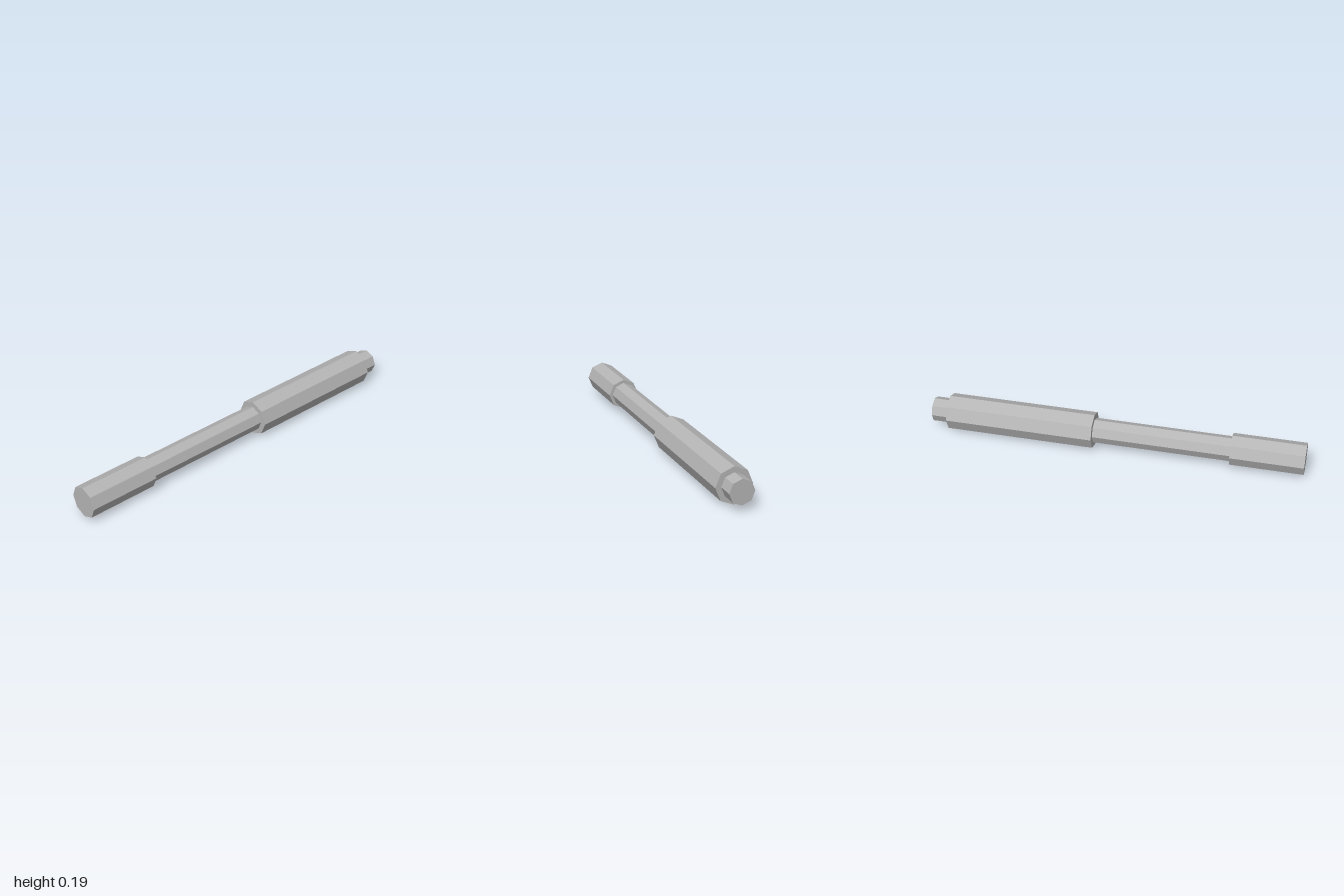
import * as THREE from 'three';

const SIDES = 8;
const AXIS_Y = 0.096;

// Octagonal bar along z, with a corner pointing straight up
function bar(name, radius, zBack, zFront, material) {
  const geometry = new THREE.CylinderGeometry(radius, radius, zFront - zBack, SIDES);
  geometry.rotateX(Math.PI / 2);
  const mesh = new THREE.Mesh(geometry, material);
  mesh.name = name;
  mesh.position.set(0, AXIS_Y, (zBack + zFront) / 2);
  return mesh;
}

export function createModel() {
  const group = new THREE.Group();
  group.name = 'steppedRod';

  const grey = new THREE.MeshStandardMaterial({ color: 0xb4b4b4, flatShading: true });
  grey.name = 'grey metal';

  group.add(
    bar('frontCap', 0.084, 0.615, 1, grey),
    bar('shaft', 0.066, -0.115, 0.615, grey),
    bar('grip', 0.096, -0.91, -0.115, grey),
    bar('rearStub', 0.066, -1, -0.91, grey),
  );
  return group;
}
